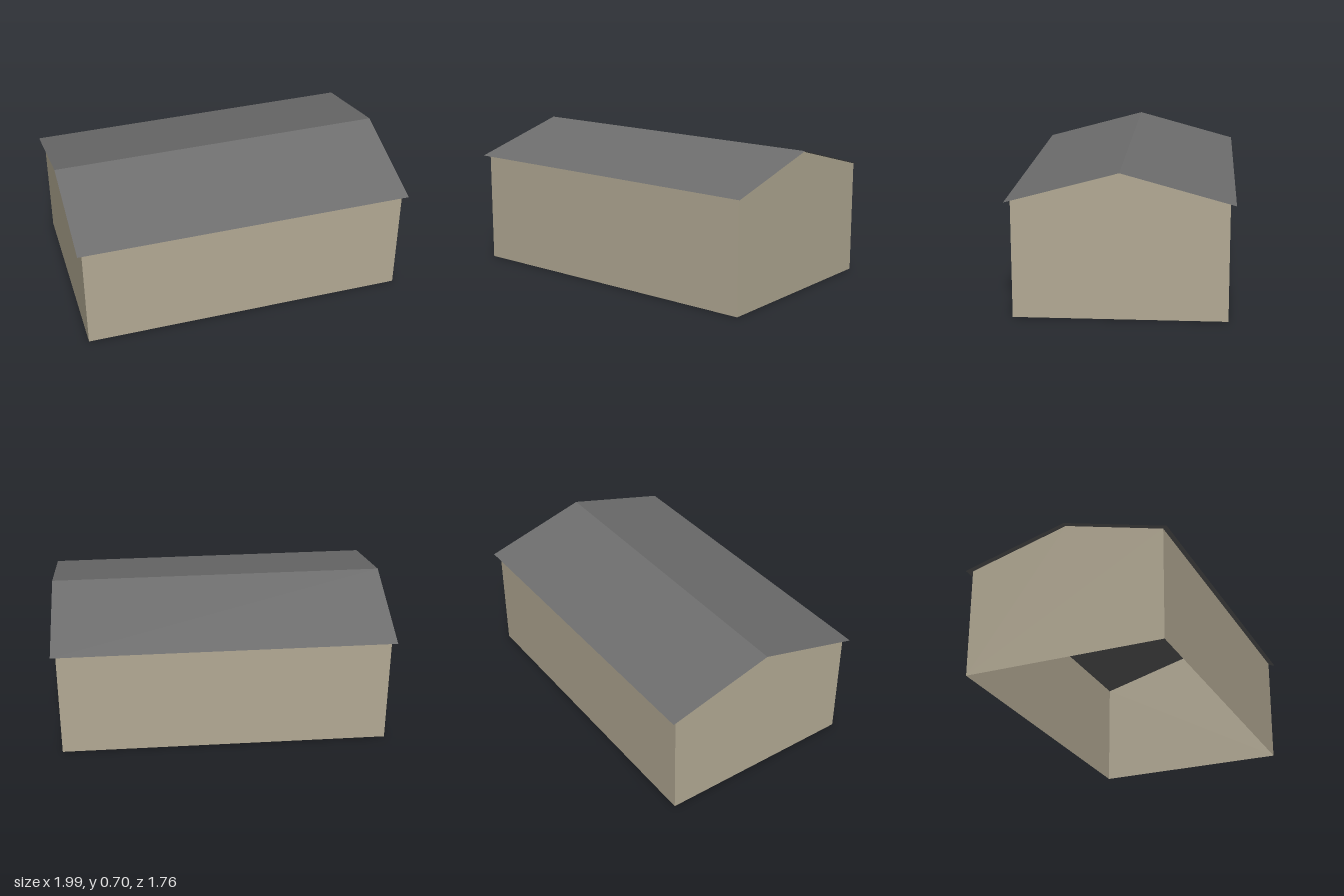
import * as THREE from 'three';

const RIDGE = 0.705, EAVE = 0.56;             // roof heights
const ROOF_L = 1.68, ROOF_W = 1.066;          // roof plan
const WALL_L = 1.632, WALL_W = 1.012;         // wall plan
const SLOPE = (RIDGE - EAVE) / (ROOF_W / 2);
const WALL_H = RIDGE - SLOPE * WALL_W / 2 - 0.003;

export function createModel() {
  const wallMat = new THREE.MeshStandardMaterial({ name: 'beige wall', color: 0xb3aa94, side: THREE.DoubleSide });
  const roofMat = new THREE.MeshStandardMaterial({ name: 'grey roof', color: 0x6e6e6e, side: THREE.DoubleSide });

  const model = new THREE.Group();
  model.name = 'barn';
  const add = (name, geometry, material, parent) => {
    const mesh = new THREE.Mesh(geometry, material);
    mesh.name = name;
    parent.add(mesh);
    return mesh;
  };

  // The barn stands at an angle; its ridge runs along local x
  const barn = new THREE.Group();
  barn.name = 'building';
  barn.rotation.y = 0.515;
  model.add(barn);

  // Five-sided gable wall
  const w = WALL_W / 2;
  const gable = new THREE.Shape([
    new THREE.Vector2(-w, 0), new THREE.Vector2(w, 0), new THREE.Vector2(w, WALL_H),
    new THREE.Vector2(0, RIDGE - 0.003), new THREE.Vector2(-w, WALL_H),
  ]);

  for (const s of [1, -1]) {
    const end = add(s > 0 ? 'leftGable' : 'rightGable', new THREE.ShapeGeometry(gable), wallMat, barn);
    end.rotation.y = s * Math.PI / 2;
    end.position.x = s * WALL_L / 2;

    // Long wall, open underneath
    const side = add(s > 0 ? 'frontWall' : 'backWall', new THREE.PlaneGeometry(WALL_L, WALL_H), wallMat, barn);
    side.rotation.y = s > 0 ? 0 : Math.PI;
    side.position.set(0, WALL_H / 2, s * WALL_W / 2);

    // Thin roof slope from ridge to overhanging eave
    const half = new THREE.Group();
    half.name = s > 0 ? 'frontRoof' : 'backRoof';
    half.rotation.y = s > 0 ? 0 : Math.PI;
    barn.add(half);
    const run = Math.hypot(ROOF_W / 2, RIDGE - EAVE);
    const slope = add('roofSlope', new THREE.PlaneGeometry(ROOF_L, run), roofMat, half);
    slope.rotation.x = -Math.PI / 2 + Math.atan(SLOPE);
    slope.position.set(0, (RIDGE + EAVE) / 2, ROOF_W / 4);
  }
  return model;
}
